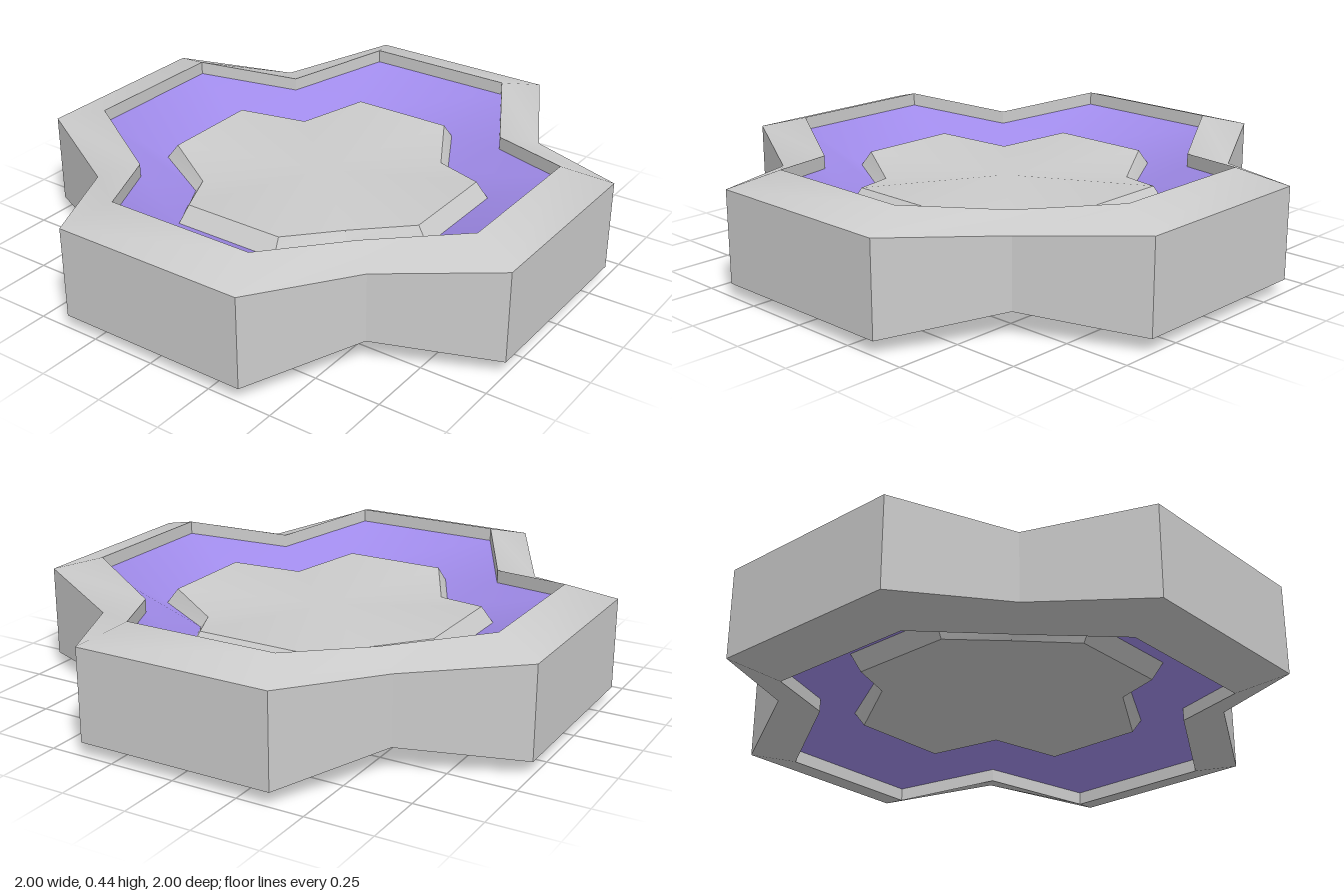
import * as THREE from 'three';
import { toCreasedNormals } from 'three/addons/utils/BufferGeometryUtils.js';

const MID = 0.2225; // height of the mirror plane

// Cross-shaped outlines: half width and reach of each arm, notch corner,
// then height above the mid plane at the arm tips and at the notches.
const OUTER = { a: 0.375, b: 1, c: 0.59, tip: 0.172, notch: 0.13 };
const RIM = { a: 0.293, b: 0.825, c: 0.48, tip: 0.2225, notch: 0.168 };
const WALL = { a: 0.293, b: 0.825, c: 0.48, tip: 0.172, notch: 0.118 };
const FOOT = { a: 0.21, b: 0.586, c: 0.34, tip: 0.057, notch: 0.042 };
const PLATE = { a: 0.198, b: 0.543, c: 0.32, tip: 0.116, notch: 0.079 };
const CENTRE = { a: 0, b: 0, c: 0, tip: 0.09, notch: 0.09 };

// Twelve corners, counter-clockwise from above; side is 1 for top, -1 for bottom
function ring({ a, b, c, tip, notch }, side) {
  const points = [];
  for (let k = 0; k < 4; k++) {
    for (const [x, z, y] of [[b, a, tip], [b, -a, tip], [c, -c, notch]]) {
      const p = new THREE.Vector3(x, MID + side * y, z);
      points.push(p.applyAxisAngle(new THREE.Vector3(0, 1, 0), k * Math.PI / 2));
    }
  }
  return points;
}

// Skin a walk of rings, from underside to top
function skin(name, rings, color) {
  const positions = [];
  const triangle = (p, q, r) => {
    const area = q.clone().sub(p).cross(r.clone().sub(p)).length();
    if (area > 1e-7) for (const v of [p, q, r]) positions.push(v.x, v.y, v.z);
  };
  for (let j = 0; j + 1 < rings.length; j++) {
    const p = rings[j], q = rings[j + 1];
    for (let i = 0; i < 12; i++) {
      const n = (i + 1) % 12;
      triangle(p[i], p[n], q[n]);
      triangle(p[i], q[n], q[i]);
    }
  }
  const geometry = new THREE.BufferGeometry();
  geometry.setAttribute('position', new THREE.Float32BufferAttribute(positions, 3));
  const mesh = new THREE.Mesh(toCreasedNormals(geometry, 0.5), new THREE.MeshStandardMaterial({ color }));
  mesh.name = name;
  return mesh;
}

export function createModel() {
  const group = new THREE.Group();
  group.name = 'crossShapedDisc';

  // Outer frame with sloping rims and short inner walls on both sides
  group.add(skin('outerFrame', [
    ring(WALL, -1), ring(RIM, -1), ring(OUTER, -1),
    ring(OUTER, 1), ring(RIM, 1), ring(WALL, 1),
  ], 0xcccccc));

  // Recessed coloured bands
  group.add(skin('lowerInlay', [ring(FOOT, -1), ring(WALL, -1)], 0xa08bea));
  group.add(skin('upperInlay', [ring(WALL, 1), ring(FOOT, 1)], 0xa08bea));

  // Raised central plates with bevelled edges
  group.add(skin('lowerPlate', [ring(CENTRE, -1), ring(PLATE, -1), ring(FOOT, -1)], 0xcccccc));
  group.add(skin('upperPlate', [ring(FOOT, 1), ring(PLATE, 1), ring(CENTRE, 1)], 0xcccccc));

  return group;
}
